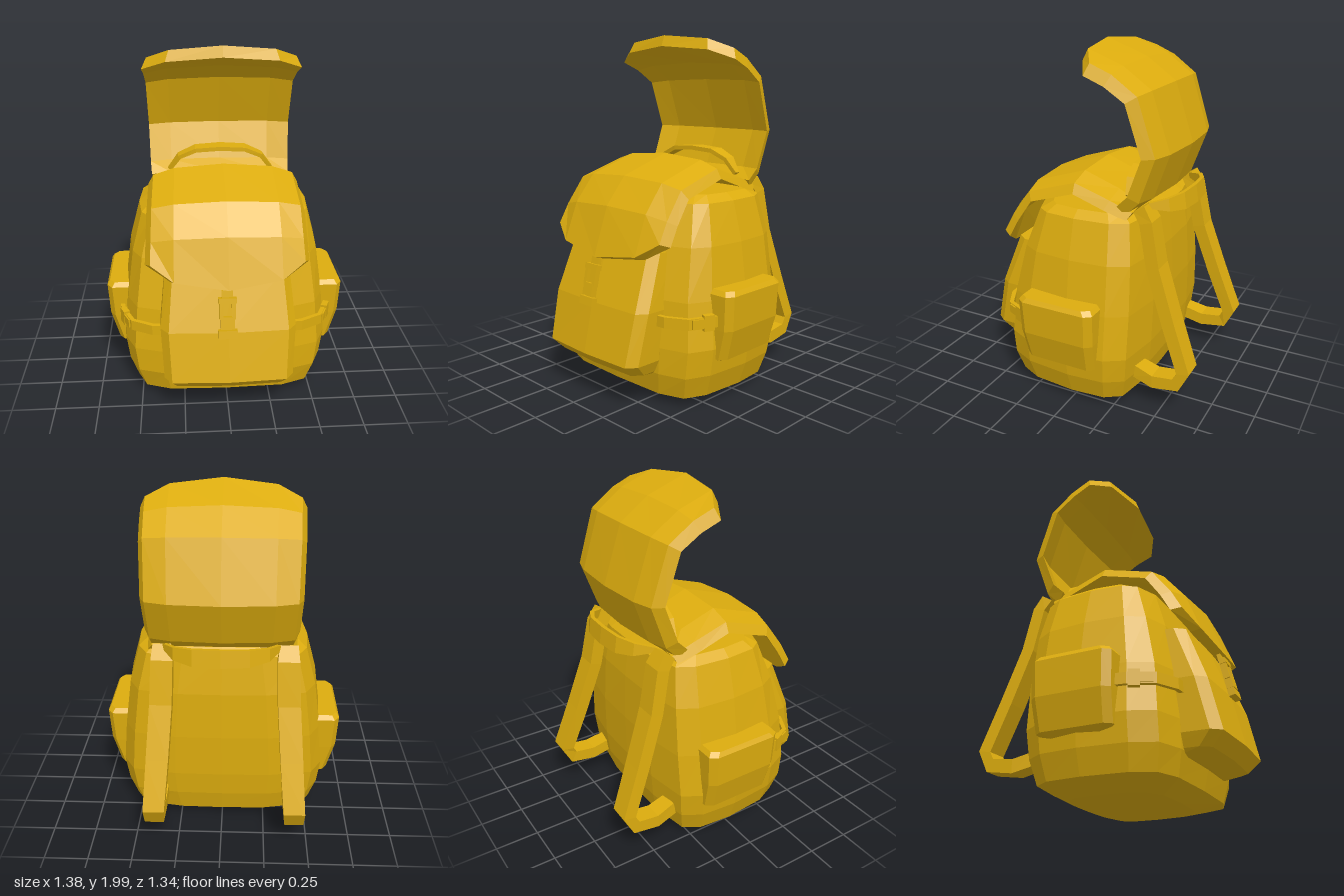
import * as THREE from 'three';

const canvas = new THREE.MeshStandardMaterial({ color: 0xdcac0e });
canvas.name = 'mustard canvas';

// Closed faceted solid through rings of [x, y, z]; ends are zipped shut
function loft(rings) {
  const n = rings[0].length, tris = [];
  const quad = (a, b, c, d) => tris.push([a, b, c], [a, c, d]);
  for (let r = 0; r < rings.length - 1; r++)
    for (let i = 0; i < n; i++) {
      const j = (i + 1) % n;
      quad(rings[r][i], rings[r][j], rings[r + 1][j], rings[r + 1][i]);
    }
  const cap = (ring, flip) => {
    for (let i = 0; i < Math.floor(n / 2) - 1; i++) {
      const q = [ring[i], ring[n - 1 - i], ring[n - 2 - i], ring[i + 1]];
      quad(...(flip ? q.reverse() : q));
    }
  };
  cap(rings[0], false);
  cap(rings[rings.length - 1], true);
  // Turn every face outward using the signed volume
  const v = (p) => new THREE.Vector3(...p);
  const volume = tris.reduce((s, [a, b, c]) => s + v(a).dot(v(b).cross(v(c))), 0);
  if (volume < 0) tris.forEach((t) => t.reverse());
  const g = new THREE.BufferGeometry();
  g.setAttribute('position', new THREE.Float32BufferAttribute(tris.flat(2), 3));
  g.computeVertexNormals();
  return g;
}

// Horizontal ring from its +x half, listed front to back as [x, z]
function mirroredRing(half, y) {
  const left = half.map(([x, z]) => [x, y, z]);
  const right = half.map(([x, z]) => [-x, y, z]).reverse();
  return [...left, ...right];
}

// Thick curved flap with bevelled sides: centre and edge profiles as [z, y], flaring from w0 to w1
function flap(centre, edge, w0, w1, thickness) {
  const columns = [-1, -0.7, 0, 0.7, 1], last = centre.length - 1;
  return loft(centre.map((c, i) => {
    const a = centre[Math.max(0, i - 1)], b = centre[Math.min(last, i + 1)];
    const dz = b[0] - a[0], dy = b[1] - a[1], len = Math.hypot(dz, dy);
    const halfWidth = w0 + (w1 - w0) * i / last;
    const row = (depth, inset) => columns.map((u) => {
      const t = Math.abs(u) ** 3;
      return [
        u * (halfWidth - inset),
        c[1] + (edge[i][1] - c[1]) * t - (dz / len) * depth,
        c[0] + (edge[i][0] - c[0]) * t + (dy / len) * depth,
      ];
    });
    return [...row(0, 0.03), ...row(thickness, 0).reverse()];
  }));
}

// Flat webbing along a path, its width (one value or one per point) lying along one axis
function webbing(path, axis, width, thickness) {
  const pts = path.map((p) => new THREE.Vector3(...p));
  const side = new THREE.Vector3(...axis).normalize();
  return loft(pts.map((p, i) => {
    const tangent = pts[Math.min(i + 1, pts.length - 1)].clone().sub(pts[Math.max(i - 1, 0)]);
    const normal = tangent.cross(side).normalize();
    const w = Array.isArray(width) ? width[i] : width;
    return [[1, 1], [1, -1], [-1, -1], [-1, 1]].map(([s, t]) =>
      p.clone().addScaledVector(side, s * w / 2).addScaledVector(normal, t * thickness / 2).toArray());
  }));
}

export function createModel() {
  const model = new THREE.Group();
  model.name = 'backpack';
  const add = (name, geometry, parent = model) => {
    const mesh = new THREE.Mesh(geometry, canvas);
    mesh.name = name;
    parent.add(mesh);
    return mesh;
  };
  const box = (name, parent, w, h, d, x, y, z) =>
    add(name, new THREE.BoxGeometry(w, h, d), parent).position.set(x, y, z);

  // Main bag: y, half width, front z, back z
  add('mainBag', loft([
    [0.01, 0.36, 0.3, -0.24], [0.06, 0.55, 0.43, -0.33], [0.19, 0.595, 0.46, -0.36],
    [0.34, 0.615, 0.46, -0.375], [0.6, 0.59, 0.44, -0.38], [0.88, 0.55, 0.38, -0.37],
    [1.1, 0.49, 0.31, -0.34], [1.14, 0.44, 0.25, -0.29],
  ].map(([y, w, f, b]) => mirroredRing([
    [0, f], [0.6 * w, f - 0.01], [0.86 * w, f - 0.06], [0.96 * w, 0.58 * f], [w, 0],
    [0.97 * w, 0.6 * b], [0.86 * w, b + 0.04], [0.45 * w, b], [0, b - 0.005],
  ], y))));

  // Front pocket, leaning outward toward its base
  add('frontPocket', loft([
    [0.17, 0.3, 0.47], [0.2, 0.33, 0.6], [0.27, 0.36, 0.668],
    [0.55, 0.375, 0.605], [0.85, 0.345, 0.49],
  ].map(([y, w, f]) => mirroredRing(
    [[0, f], [0.88 * w, f - 0.015], [w, f - 0.07], [w * 1.02, 0.28]], y))));

  // Lid folded over the front
  add('frontLid', flap(
    [[-0.3, 1.17], [-0.17, 1.25], [0.04, 1.33], [0.36, 1.225], [0.49, 1.07], [0.585, 0.8]],
    [[-0.3, 1.15], [-0.17, 1.2], [0.04, 1.27], [0.33, 1.18], [0.44, 1.03], [0.5, 0.92]],
    0.42, 0.45, 0.055));

  // Raised rear lid
  add('raisedLid', flap(
    [[-0.28, 1.13], [-0.39, 1.21], [-0.48, 1.46], [-0.37, 1.79], [-0.2, 1.91], [0.045, 2]],
    [[-0.26, 1.13], [-0.34, 1.21], [-0.43, 1.46], [-0.33, 1.77], [-0.19, 1.87], [-0.07, 1.92]],
    0.42, 0.45, 0.065));

  // Carrying loops above and behind the top, widest at the grip
  const loopX = [-0.31, -0.25, -0.15, 0, 0.15, 0.25, 0.31];
  const rise = [0, 0.6, 0.93, 1, 0.93, 0.6, 0];
  const loopWidth = rise.map((r) => 0.03 + 0.07 * r);
  add('topHandle', webbing(loopX.map((x, i) => [x, 1.21 + 0.135 * rise[i], -0.24]), [0, 0, 1], loopWidth, 0.025));
  add('backHandle', webbing(loopX.map((x, i) => [x, 1.175, -0.36 - 0.145 * rise[i]]), [0, 1, 0.15], loopWidth, 0.025));

  for (const s of [1, -1]) {
    const label = s > 0 ? 'left' : 'right';

    // Shoulder strap with its lower return
    add(label + 'ShoulderStrap', webbing([
      [0.345, 1.17, -0.33], [0.345, 1.1, -0.375], [0.355, 0.85, -0.425], [0.375, 0.55, -0.53],
      [0.395, 0.28, -0.632], [0.4, 0.2, -0.59], [0.4, 0.18, -0.45], [0.39, 0.21, -0.33],
    ].map(([x, y, z]) => [s * x - 0.02, y, z]), [1, 0, 0],
    [0.1, 0.12, 0.125, 0.125, 0.12, 0.11, 0.11, 0.1], 0.075));

    // Side pocket: y, outer x, half depth
    const shift = s > 0 ? 0.03 : -0.01;
    add(label + 'SidePocket', loft([
      [0.245, 0.575, 0.16], [0.28, 0.635, 0.215], [0.45, 0.68, 0.225], [0.64, 0.69, 0.23], [0.665, 0.675, 0.21],
    ].map(([y, x, d]) => [
      [0.5, d], [x - 0.03, d], [x, d - 0.04], [x, 0.04 - d], [x - 0.03, -d], [0.5, -d],
    ].map(([px, pz]) => [s * px, y, pz + shift]))));

    // Compression strap and clip between the pockets
    const compression = new THREE.Group();
    compression.name = label + 'CompressionStrap';
    model.add(compression);
    add('strap', webbing([
      [0.35, 0.5, 0.465], [0.42, 0.5, 0.46], [0.535, 0.5, 0.4], [0.595, 0.5, 0.27], [0.605, 0.5, 0.2],
    ].map(([x, y, z]) => [s * x, y, z]), [0, 1, 0], 0.06, 0.025), compression);
    const clip = new THREE.Group();
    clip.name = 'clip';
    clip.position.set(s * 0.568, 0.5, 0.34);
    clip.rotation.y = s * (Math.PI / 2 - 0.42);
    compression.add(clip);
    box('socket', clip, 0.06, 0.085, 0.035, 0.04 * s, 0, 0);
    box('tongue', clip, 0.07, 0.05, 0.03, -0.02 * s, 0, 0);
  }

  // Front buckle on its webbing
  const buckle = new THREE.Group();
  buckle.name = 'frontBuckle';
  buckle.position.set(-0.01, 0.66, 0.598);
  buckle.rotation.x = -0.22;
  model.add(buckle);
  box('webbing', buckle, 0.06, 0.26, 0.02, 0, 0.01, -0.01);
  box('upperBar', buckle, 0.1, 0.03, 0.035, 0, 0.085, 0.005);
  for (const s of [1, -1]) box('prong', buckle, 0.022, 0.1, 0.03, s * 0.034, 0.03, 0.005);
  box('socket', buckle, 0.075, 0.07, 0.035, 0, -0.04, 0.005);
  box('lowerBar', buckle, 0.105, 0.045, 0.035, 0, -0.105, 0.005);

  return model;
}
